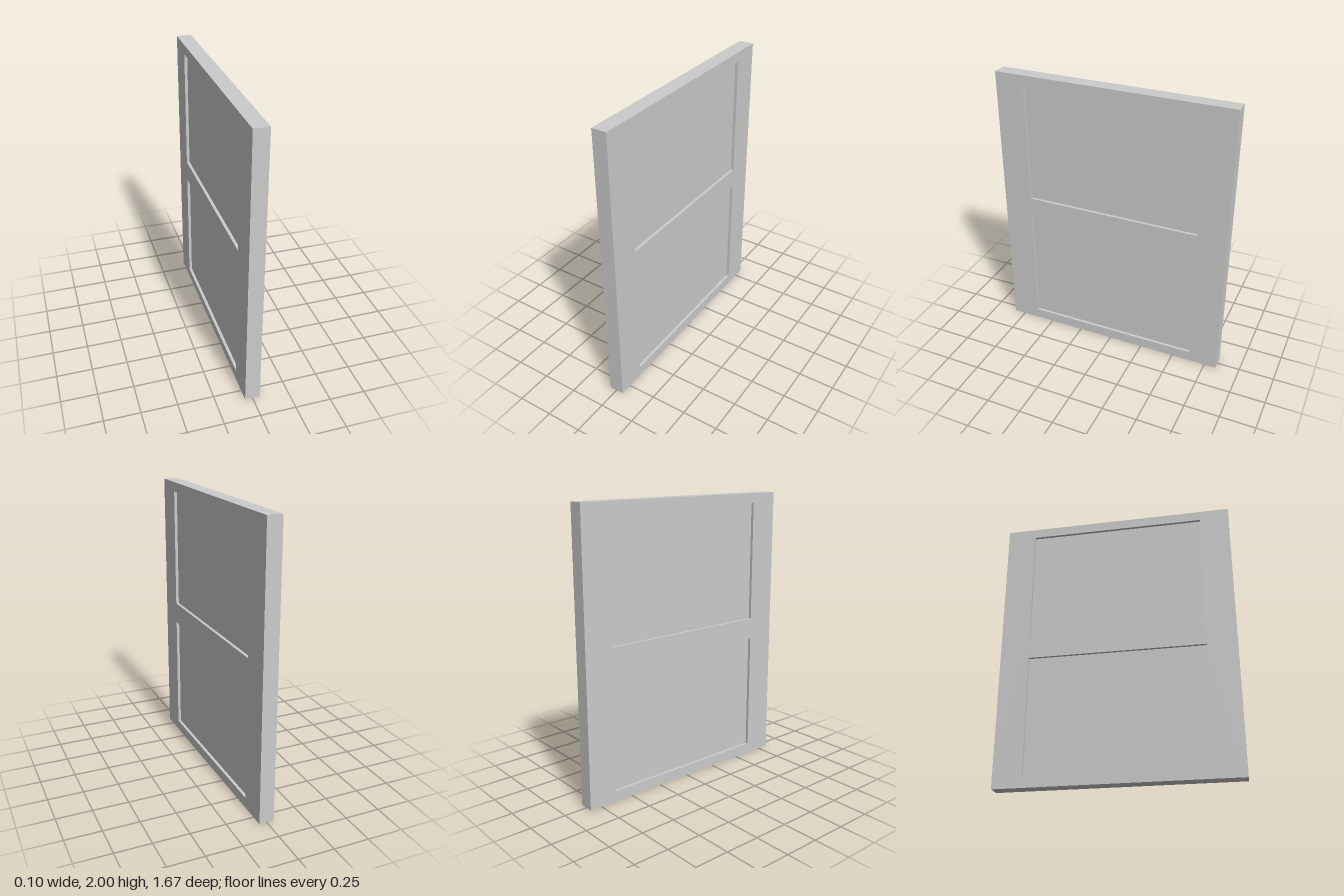
import * as THREE from 'three';

const HEIGHT = 2, WIDTH = 1.67, THICKNESS = 0.104;
const PANEL_WIDTH = 1.256, PANEL_HEIGHT = 0.852, RECESS = 0.021;
const PANEL_CENTRES = [0.5, 1.504];

// Rectangle outline, centred on x, in the plane of the door
function rectangle(PathType, width, height, centreY) {
  const w = width / 2, h = height / 2;
  return new PathType([[-w, -h], [w, -h], [w, h], [-w, h]]
    .map(([x, y]) => new THREE.Vector2(x, centreY + y)));
}

export function createModel() {
  const door = new THREE.Group();
  door.name = 'door';
  const material = new THREE.MeshStandardMaterial({ color: 0xcccccc, flatShading: true });

  // Frame with two rectangular openings
  const outline = rectangle(THREE.Shape, WIDTH, HEIGHT, HEIGHT / 2);
  for (const y of PANEL_CENTRES) {
    outline.holes.push(rectangle(THREE.Path, PANEL_WIDTH, PANEL_HEIGHT, y));
  }
  const frameGeometry = new THREE.ExtrudeGeometry(outline, { depth: THICKNESS, bevelEnabled: false });
  frameGeometry.translate(0, 0, -THICKNESS / 2).rotateY(-Math.PI / 2);
  const frame = new THREE.Mesh(frameGeometry, material);
  frame.name = 'frame';
  door.add(frame);

  // Panels set back from both faces
  PANEL_CENTRES.forEach((y, i) => {
    const panel = new THREE.Mesh(
      new THREE.BoxGeometry(THICKNESS - 2 * RECESS, PANEL_HEIGHT, PANEL_WIDTH), material);
    panel.position.y = y;
    panel.name = i === 0 ? 'lowerPanel' : 'upperPanel';
    door.add(panel);
  });

  return door;
}
